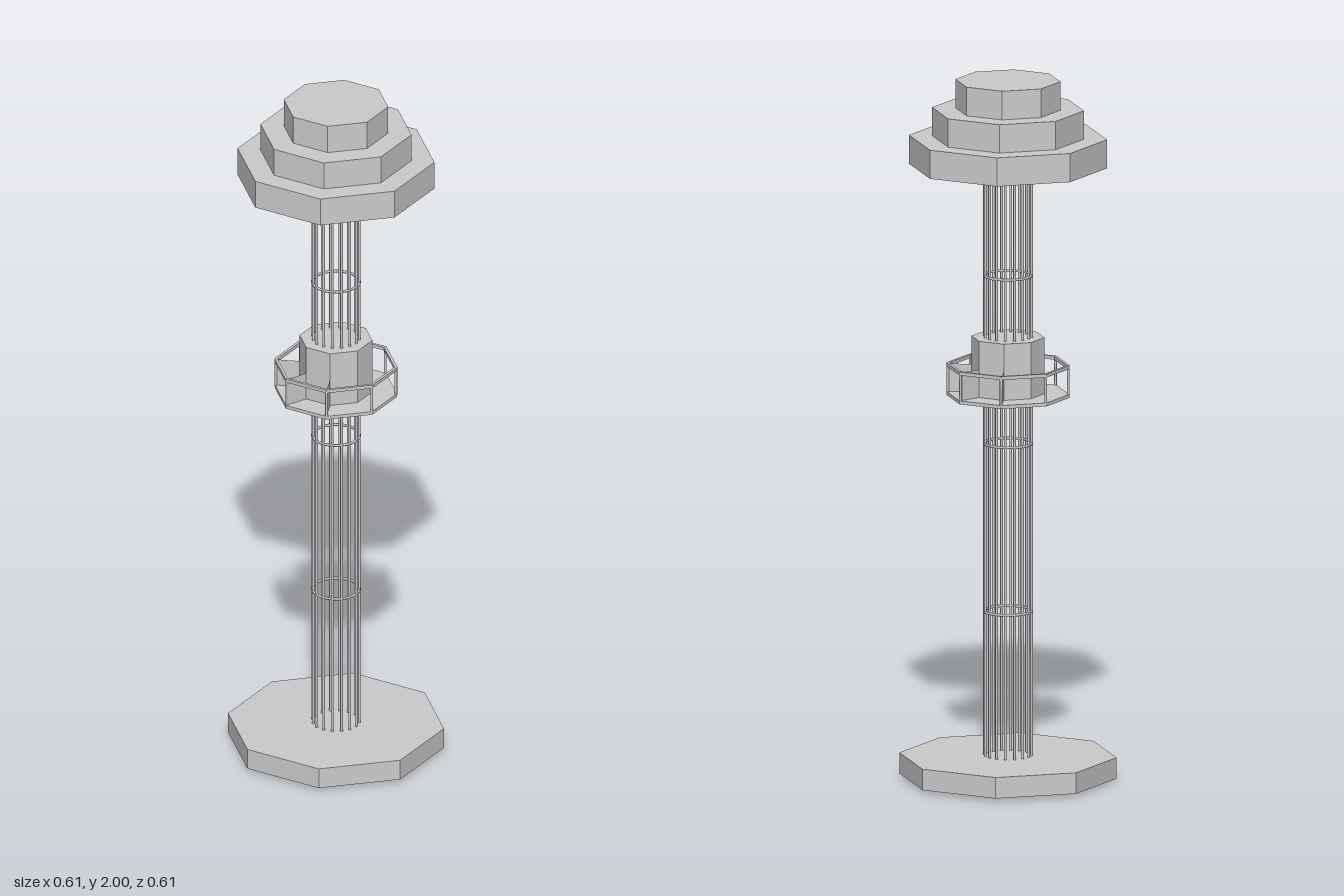
import * as THREE from 'three';

const grey = new THREE.MeshStandardMaterial({ color: 0xcccccc, flatShading: true });
const smooth = new THREE.MeshStandardMaterial({ color: 0xcccccc });

export function createModel() {
  const model = new THREE.Group();

  function add(name, geometry, material = grey, parent = model) {
    const mesh = new THREE.Mesh(geometry, material);
    mesh.name = name;
    parent.add(mesh);
    return mesh;
  }

  // Octagonal slab with corners on the axes
  function slab(name, radius, bottom, top) {
    const mesh = add(name, new THREE.CylinderGeometry(radius, radius, top - bottom, 8));
    mesh.position.y = (bottom + top) / 2;
  }

  slab('base', 0.306, 0.01, 0.07);

  // Stepped cap
  slab('capLower', 0.279, 1.755, 1.837);
  slab('capMiddle', 0.214, 1.837, 1.918);
  slab('capUpper', 0.148, 1.918, 2);

  // Cage of thin rods tied together by hoops
  const cage = new THREE.Group();
  cage.name = 'cage';
  model.add(cage);
  const cageRadius = 0.066, rodRadius = 0.004, rodCount = 16;
  for (let i = 0; i < rodCount; i++) {
    const a = (i / rodCount) * Math.PI * 2;
    const rod = add('rod', new THREE.CylinderGeometry(rodRadius, rodRadius, 1.8, 6), smooth, cage);
    rod.position.set(cageRadius * Math.sin(a), 0.904, cageRadius * Math.cos(a));
  }
  for (let i = 0; i < 4; i++) {
    const hoop = add('hoop', new THREE.TorusGeometry(cageRadius, rodRadius, 6, 32), smooth, cage);
    hoop.rotation.x = Math.PI / 2;
    hoop.position.y = 0.004 + i * 0.4795;
  }

  // Gallery: drum and floor
  slab('galleryDrum', 0.103, 1.1, 1.267);
  slab('galleryFloor', 0.173, 1.096, 1.106);

  // Gallery: eight bays with a one-sided radial fin, corner post and rail
  const outer = 0.17, inner = 0.103, railY = 1.184;
  const railLength = 2 * outer * Math.sin(Math.PI / 8);
  for (let i = 0; i < 8; i++) {
    const bay = new THREE.Group();
    bay.name = 'galleryBay';
    bay.rotation.y = (i * Math.PI) / 4;
    model.add(bay);

    const fin = add('fin', new THREE.PlaneGeometry(outer - inner, 0.084), grey, bay);
    fin.position.set(-(outer + inner) / 2, 1.144, 0);

    const post = add('post', new THREE.CylinderGeometry(0.004, 0.004, 0.084, 6), smooth, bay);
    post.position.set(-outer, 1.144, 0);

    const side = new THREE.Group();
    side.rotation.y = Math.PI / 8;
    bay.add(side);
    const rail = add('rail', new THREE.BoxGeometry(0.008, 0.01, railLength), grey, side);
    rail.position.set(-outer * Math.cos(Math.PI / 8), railY, 0);
  }

  return model;
}
